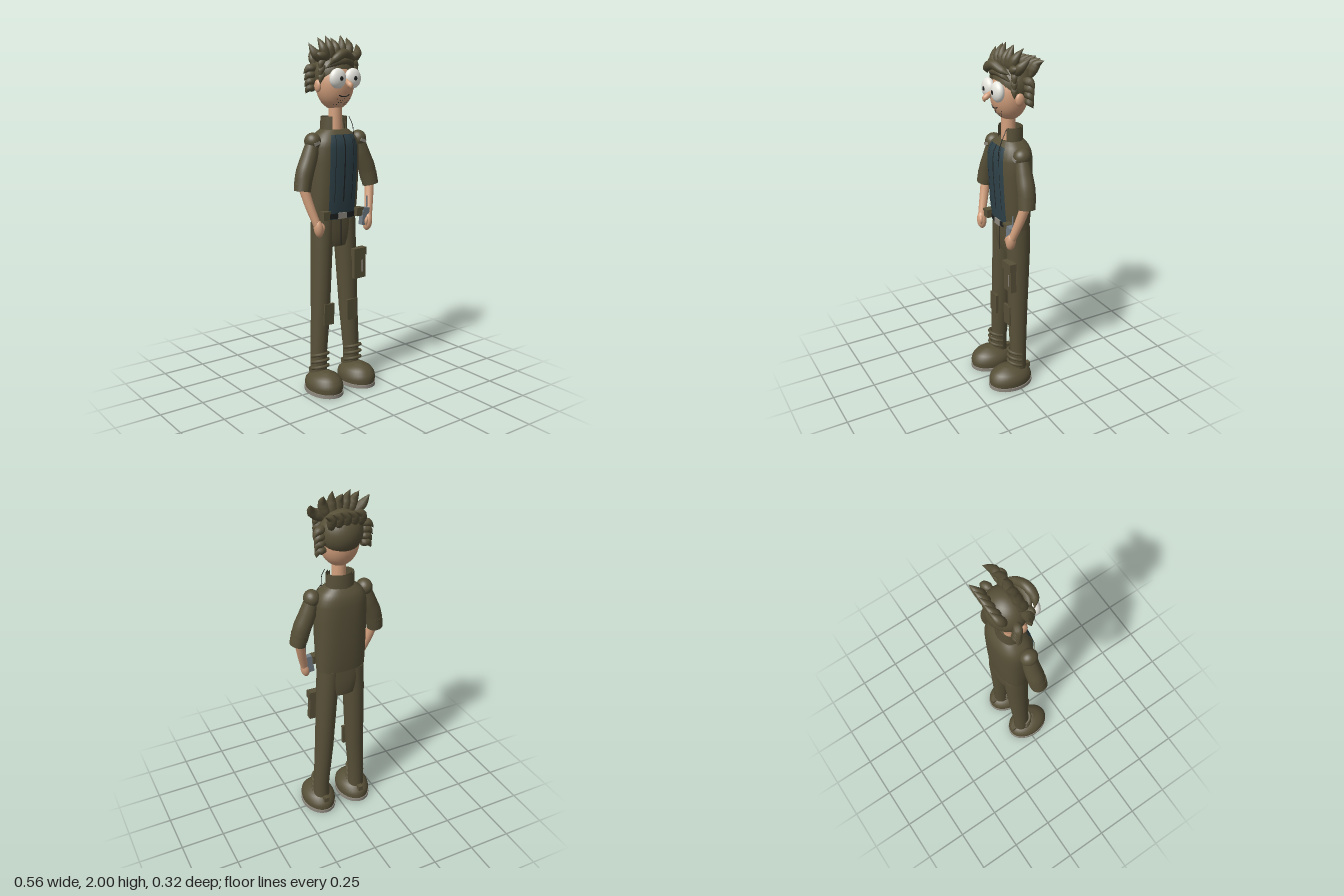
import * as THREE from 'three';
import { mergeVertices } from 'three/addons/utils/BufferGeometryUtils.js';

const mat = (name, color, side = THREE.FrontSide) => {
  const m = new THREE.MeshStandardMaterial({ color, side });
  m.name = name;
  return m;
};

export function createModel() {
  const olive = mat('olive cloth', 0x575038, THREE.DoubleSide);
  const skin = mat('skin', 0xd3a07d);
  const teal = mat('teal shirt', 0x2f434a, THREE.DoubleSide);
  const white = mat('eye white', 0xe9e8e0);
  const dark = mat('dark line', 0x1f2020, THREE.DoubleSide);
  const steel = mat('steel', 0x727d84);
  const soleGrey = mat('sole grey', 0x8f8a80);
  const root = new THREE.Group();
  root.name = 'figure';

  const add = (name, geo, m, pos = [0, 0, 0], scale = [1, 1, 1], rot = [0, 0, 0]) => {
    const mesh = new THREE.Mesh(geo, m);
    mesh.name = name;
    mesh.position.set(...pos);
    mesh.scale.set(...scale);
    mesh.rotation.set(...rot);
    root.add(mesh);
    return mesh;
  };
  const ball = new THREE.SphereGeometry(1, 28, 20);
  const box = (name, m, pos, size, rot) => add(name, new THREE.BoxGeometry(...size), m, pos, [1, 1, 1], rot);

  // Sweep a round section along a curve, with radii spread evenly over its length
  const sweep = (name, m, pts, radii, seg = 16, sides = 14) => {
    const curve = new THREE.CatmullRomCurve3(pts.map(p => new THREE.Vector3(...p)));
    const g = new THREE.TubeGeometry(curve, seg, 1, sides);
    const p = g.attributes.position, v = new THREE.Vector3();
    for (let i = 0; i <= seg; i++) {
      const c = curve.getPointAt(i / seg), t = i / seg * (radii.length - 1);
      const k = Math.min(Math.floor(t), radii.length - 2);
      const r = radii[k] + (radii[k + 1] - radii[k]) * (t - k);
      for (let j = 0; j <= sides; j++) {
        const n = i * (sides + 1) + j;
        v.fromBufferAttribute(p, n).sub(c).multiplyScalar(Math.max(r, 0.0004)).add(c);
        p.setXYZ(n, v.x, v.y, v.z);
      }
    }
    g.deleteAttribute('uv');
    g.deleteAttribute('normal');
    const out = mergeVertices(g, 1e-5);
    out.computeVertexNormals();
    return add(name, out, m);
  };

  // Loft through sections [y, cx, cz, rx, rz]; a sector in degrees gives an open panel
  const loft = (name, m, secs, { n = 2, from = 0, to = 360, off = 0 } = {}) => {
    const full = to - from === 360, S = full ? 36 : 14, ring = full ? S : S + 1;
    const pos = [], idx = [];
    const rows = full ? [[...secs[0].slice(0, 3), 0, 0], secs[0], ...secs, secs.at(-1),
      [...secs.at(-1).slice(0, 3), 0, 0]] : secs;
    const pw = c => Math.sign(c) * Math.abs(c) ** (2 / n);
    for (const [y, cx, cz, rx, rz] of rows) for (let i = 0; i < ring; i++) {
      const a = (from + (to - from) * i / S) * Math.PI / 180, o = rx ? off : 0;
      pos.push(cx + (rx + o) * pw(Math.cos(a)), y, cz + (rz + o) * pw(Math.sin(a)));
    }
    for (let j = 0; j < rows.length - 1; j++) for (let i = 0; i < S; i++) {
      const a = j * ring + i, b = j * ring + (i + 1) % ring;
      idx.push(a, a + ring, b, b, a + ring, b + ring);
    }
    const g = new THREE.BufferGeometry();
    g.setAttribute('position', new THREE.Float32BufferAttribute(pos, 3));
    g.setIndex(idx);
    g.computeVertexNormals();
    return add(name, g, m);
  };

  // Jacket body, shirt panel and lapels
  const torso = [[1.0, 0, -.045, .14, .075], [1.1, 0, -.042, .143, .088], [1.2, 0, -.04, .145, .094],
    [1.32, 0, -.038, .146, .1], [1.4, 0, -.037, .145, .1], [1.44, 0, -.038, .135, .094],
    [1.47, 0, -.04, .115, .08], [1.495, 0, -.04, .08, .06]];
  loft('jacket', olive, torso, { n: 2.5 });
  loft('shirt', teal, torso.slice(0, 7), { n: 2.5, from: 56, to: 124, off: .004 });
  for (const a of [52, 122]) loft('lapel', olive, torso, { n: 2.5, from: a, to: a + 6, off: .008 });
  for (const a of [72, 90, 108])
    loft('shirtSeam', dark, torso.slice(1, 7), { n: 2.5, from: a - .6, to: a + .6, off: .006 });
  const neckCollar = [[1.475, 0, -.04, .08, .064], [1.565, 0, -.04, .078, .062]];
  loft('collar', olive, neckCollar, { from: 125, to: 415 });
  loft('collarLining', olive, neckCollar, { from: 125, to: 415, off: -.012 });
  sweep('cord', dark, [[.06, 1.565, .02], [.065, 1.52, .045], [.06, 1.46, .064], [.06, 1.4, .07]], [.002, .002], 16, 6);

  // Belt, buckle and pouches
  loft('belt', dark, [[1.005, 0, -.045, .14, .08], [1.035, 0, -.045, .14, .082]], { n: 2.5, from: 56, to: 124, off: .006 });
  box('buckle', soleGrey, [0, 1.02, .043], [.055, .034, .008]);
  for (const s of [-1, 1]) {
    box('beltPouch', olive, [s * .115, 1.028, .035], [.042, .045, .04]);
    box('pouchFlap', olive, [s * .115, 1.047, .037], [.046, .014, .046]);
  }

  // Hips
  loft('hips', olive, [[.84, 0, -.048, .085, .062], [.88, 0, -.047, .1, .071], [.94, 0, -.046, .122, .074],
    [1.005, 0, -.045, .138, .073]], { n: 2.4 });
  box('fly', dark, [0, .92, .028], [.003, .15, .003]);

  for (const s of [-1, 1]) {
    // Legs, knee patches and boots
    loft('leg', olive, [[.05, s * .117, -.03, .048, .047], [.2, s * .117, -.029, .047, .047],
      [.45, s * .1, -.034, .054, .056], [.84, s * .083, -.044, .06, .068], [1.0, s * .072, -.045, .066, .07]]);
    box('kneePatch', olive, [s * .081, .455, .021], [.067, .122, .016], [0, 0, s * .03]);
    loft('boot', olive, [[.022, s * .117, .022, .092, .13], [.05, s * .117, .023, .097, .133],
      [.075, s * .117, .024, .093, .126], [.098, s * .117, .027, .077, .104], [.115, s * .117, .032, .05, .07],
      [.125, s * .117, .038, .018, .028]]);
    add('sole', new THREE.CylinderGeometry(1, 1, .02, 40), soleGrey, [s * .117, .015, .022], [.098, 1, .135]);
    add('soleMark', new THREE.CylinderGeometry(1, 1, .004, 8), dark, [s * .117, .004, .022], [.025, 1, .025]);
    box('heelTab', olive, [s * .117, .095, -.08], [.03, .03, .05]);
    [.15, .187, .225].forEach((y, i) => add('bootStrap', new THREE.TorusGeometry(.05, .009, 8, 24, Math.PI),
      olive, [s * .117, y - .015, -.024], [1, 1.15, 1], [Math.PI / 2 - .3, 0, 0]));

    // Shoulders, sleeves, forearms and hands
    add('shoulder', ball, olive, [s * .156, 1.437, -.02], [.044, .046, .048]);
    sweep('sleeve', olive, [[s * .152, 1.44, -.02], [s * .18, 1.35, -.018], [s * .212, 1.27, -.014], [s * .23, 1.2, -.01]],
      [.036, .046, .05, .048]);
    add('cuff', new THREE.CylinderGeometry(.048, .045, .07, 24), olive, [s * .229, 1.205, -.008], [1, 1, 1.05], [-.1, 0, s * .2]);
    box('shoulderPatch', soleGrey, [s * .157, 1.427, .027], [.036, .016, .006], [0, 0, -s * .3]);
    sweep('forearm', skin, [[s * .227, 1.19, -.005], [s * .205, 1.09, .02], [s * .175, .98, .052]], [.028, .025, .021]);
    add('hand', ball, skin, [s * .17, .967, .053], [.026, .05, .028], [0, 0, -s * .15]);
    sweep('thumb', skin, [[s * .165, 1.0, .06], [s * .15, .98, .068], [s * .147, .945, .068]], [.006, .01, .009, 0], 10, 8);

    // Eyes and ears
    add('eye', ball, white, [s * .05, 1.77, .066], [.051, .054, .031]);
    add('pupil', ball, dark, [s * .047, 1.77, .096], [.011, .012, .003]);
    add('ear', ball, skin, [s * .113, 1.73, -.03], [.015, .034, .025]);
  }

  // Thigh pocket
  box('thighPocket', olive, [.122, .725, .03], [.08, .17, .034], [0, 0, .03]);
  box('pocketFlap', olive, [.12, .795, .034], [.088, .045, .042], [0, 0, .03]);
  box('pocketStripe', soleGrey, [.138, .71, .048], [.008, .07, .004]);

  // Handset held at the left side
  box('handset', steel, [.152, 1.0, .045], [.045, .1, .032], [0, 0, -.12]);
  add('antenna', new THREE.CylinderGeometry(.004, .004, .08, 8), steel, [.172, 1.075, .042]);

  // Neck, head and face
  add('neck', new THREE.CylinderGeometry(.037, .04, .17, 24), skin, [0, 1.555, -.025]);
  const H = [0, 1.74, -.03], R = [.108, .14, .1];
  add('head', ball, skin, H, R);
  const faceZ = (x, y) => H[2] + R[2] * Math.sqrt(1 - (x / R[0]) ** 2 - ((y - H[1]) / R[1]) ** 2);
  sweep('nose', skin, [[0, 1.765, .06], [0, 1.745, .095], [0, 1.727, .116], [0, 1.71, .113]], [.01, .011, .016, .015, 0]);
  const mouth = [[-.034, 1.682], [-.015, 1.674], [.012, 1.674], [.034, 1.684]];
  sweep('mouth', dark, mouth.map(([x, y]) => [x, y, faceZ(x, y)]), [.003, .003], 14, 6);
  for (let i = 0; i < 14; i++) {
    const x = -.045 + (i * 37 % 14) * .007, y = 1.632 + (i % 4) * .01;
    add('stubble', new THREE.SphereGeometry(.0028, 6, 4), dark, [x, y, faceZ(x, y)]);
  }

  // Hair: cap, crown spikes, back row, fringe and side curls
  add('hairCap', ball, olive, [0, 1.79, -.05], [.116, .115, .106]);
  const spike = (name, base, mid, tip, r) =>
    sweep(name, olive, [base, mid, tip], [r * .6, r, r * .95, r * .55, 0], 14, 10);
  for (const [bx, tx, ty, tz] of [[-.085, -.165, 1.955, -.04], [-.06, -.1, 1.985, -.05], [-.03, -.055, 1.995, -.04],
    [0, -.008, 1.985, -.055], [.028, .04, 2.0, -.035], [.058, .098, 1.988, -.058], [.085, .17, 1.955, -.06]])
    spike('crownSpike', [bx, 1.86, -.015], [(bx * .4 + tx * .6) * 1.04, ty - .055, -.015], [tx, ty, tz], .027);
  for (let i = 0; i < 5; i++) {
    const x = -.08 + i * .041;
    spike('backSpike', [x, 1.84, -.11], [x + .012, 1.9, -.137], [x + .055, 1.932 - Math.abs(i - 2) * .005, -.156], .026);
  }
  sweep('fringe', olive, [[-.095, 1.835, .045], [-.06, 1.875, .068], [-.005, 1.9, .062], [.05, 1.88, .045], [.1, 1.86, .02]],
    [0, .02, .026, .024, .02, 0], 24, 12);
  sweep('fringeUnder', olive, [[-.1, 1.82, .015], [-.04, 1.855, .045], [.04, 1.86, .045], [.1, 1.82, .015]],
    [0, .018, .02, .018, 0], 20, 10);
  for (const s of [-1, 1]) {
    for (let i = 0; i < 4; i++) {
      const y = 1.815 - i * .035;
      spike('sideCurl', [s * .1, y + .01, -.06 - i * .006], [s * .14, y + .006, -.075], [s * (.168 - i * .004), y - .022, -.085], .023);
    }
    for (let i = 0; i < 3; i++)
      spike('sideburn', [s * .09, 1.87 - i * .035, -.005], [s * .113, 1.85 - i * .035, .004], [s * .125, 1.81 - i * .035, .01], .018);
    spike('templeSpike', [s * .08, 1.88, -.01], [s * .12, 1.89, .01], [s * .148, 1.905, .0], .024);
  }
  return root;
}
